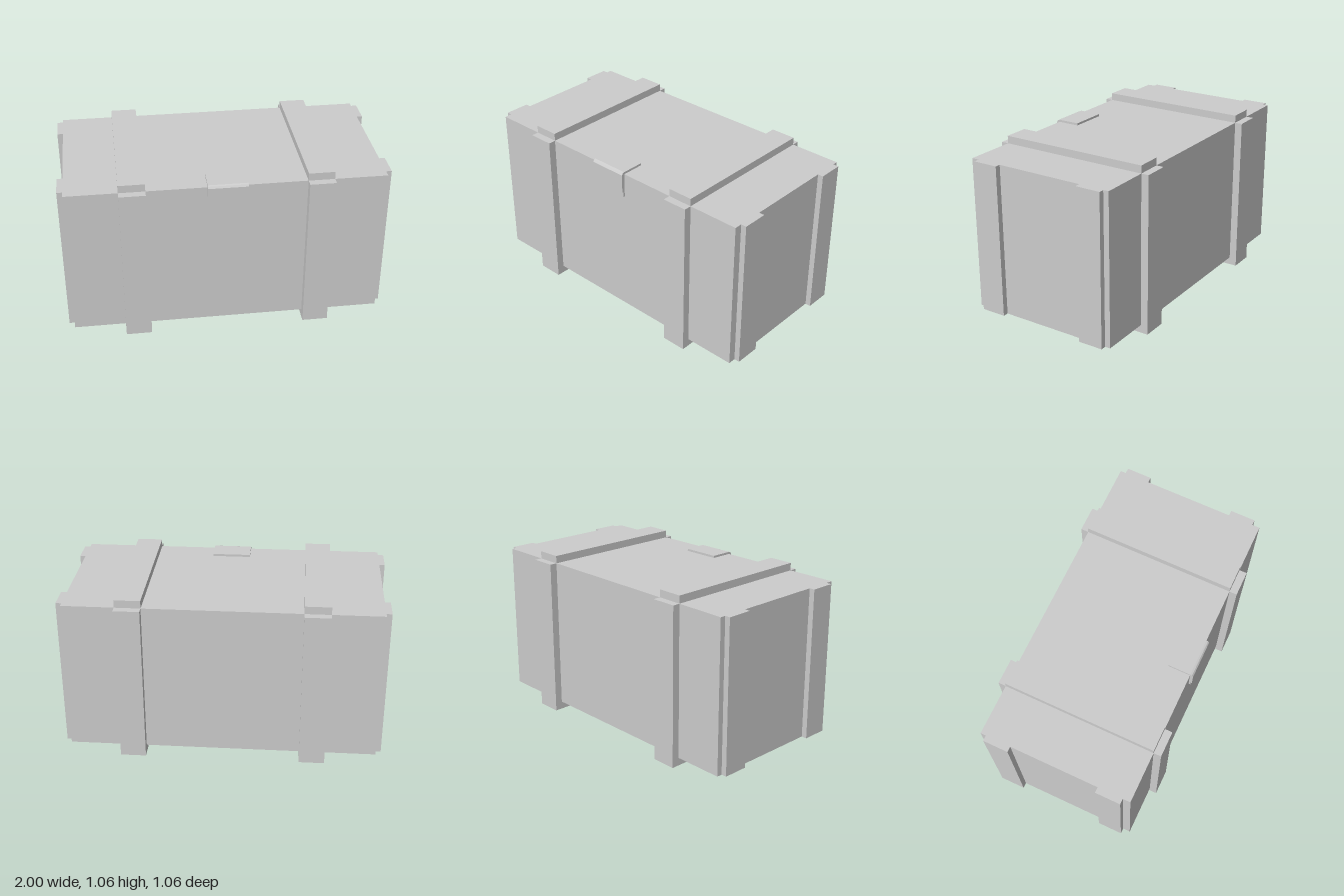
import * as THREE from 'three';

const material = new THREE.MeshStandardMaterial({ color: 0xcccccc, flatShading: true });

// Box given by its min and max on each axis
function block(parent, name, [x0, x1], [y0, y1], [z0, z1]) {
  const mesh = new THREE.Mesh(new THREE.BoxGeometry(x1 - x0, y1 - y0, z1 - z0), material);
  mesh.position.set((x0 + x1) / 2, (y0 + y1) / 2, (z0 + z1) / 2);
  mesh.name = name;
  parent.add(mesh);
}

export function createModel() {
  const crate = new THREE.Group();
  crate.name = 'crate';
  const base = 0.05, top = 1.015, halfX = 0.965, halfZ = 0.483, outerZ = 0.531;

  block(crate, 'body', [-halfX, halfX], [base, top], [-halfZ, halfZ]);

  // Upright battens on both ends
  for (const [x, side] of [[[halfX, 1], 'left'], [[-1, -halfX], 'right']]) {
    block(crate, side + 'FrontBatten', x, [base, top], [0.275, 0.435]);
    block(crate, side + 'BackBatten', x, [base, top], [-0.448, -0.288]);
  }

  // Straps wrapped around the crate: runner, uprights and lid slat
  for (const [x, side] of [[[0.481, 0.641], 'left'], [[-0.646, -0.486], 'right']]) {
    const strap = new THREE.Group();
    strap.name = side + 'Strap';
    block(strap, 'runner', x, [0, base], [-outerZ, outerZ]);
    block(strap, 'frontUpright', x, [base, top], [halfZ, outerZ]);
    block(strap, 'backUpright', x, [base, top], [-outerZ, -halfZ]);
    block(strap, 'lidSlat', x, [top, 1.063], [-halfZ, halfZ]);
    crate.add(strap);
  }

  // Latch flap: bent plate with a bevelled corner, extruded across x
  const latch = new THREE.Group();
  latch.name = 'latch';
  const w = 0.121;
  const bend = new THREE.Shape([
    [0.34, top], [0.34, 1.029], [0.484, 1.029], [0.495, 1.025], [0.503, 1.014],
    [0.503, 0.895], [halfZ, 0.895], [halfZ, top],
  ].map(([z, y]) => new THREE.Vector2(-z, y)));
  const flapGeometry = new THREE.ExtrudeGeometry(bend, { depth: 2 * w, bevelEnabled: false });
  flapGeometry.translate(0, 0, -w).rotateY(Math.PI / 2);
  const flap = new THREE.Mesh(flapGeometry, material);
  flap.name = 'latchFlap';

  // Thinner tongue with a rounded lower edge
  const outline = new THREE.Shape();
  outline.moveTo(-w, 0.895).lineTo(-w, 0.862);
  outline.bezierCurveTo(-0.08, 0.812, 0.08, 0.812, w, 0.862);
  outline.lineTo(w, 0.895);
  const tongueGeometry = new THREE.ExtrudeGeometry(outline, {
    depth: 0.012, bevelEnabled: false, curveSegments: 10,
  });
  const tongue = new THREE.Mesh(tongueGeometry, material);
  tongue.position.z = halfZ;
  tongue.name = 'latchTongue';
  latch.add(flap, tongue);
  crate.add(latch);

  return crate;
}
